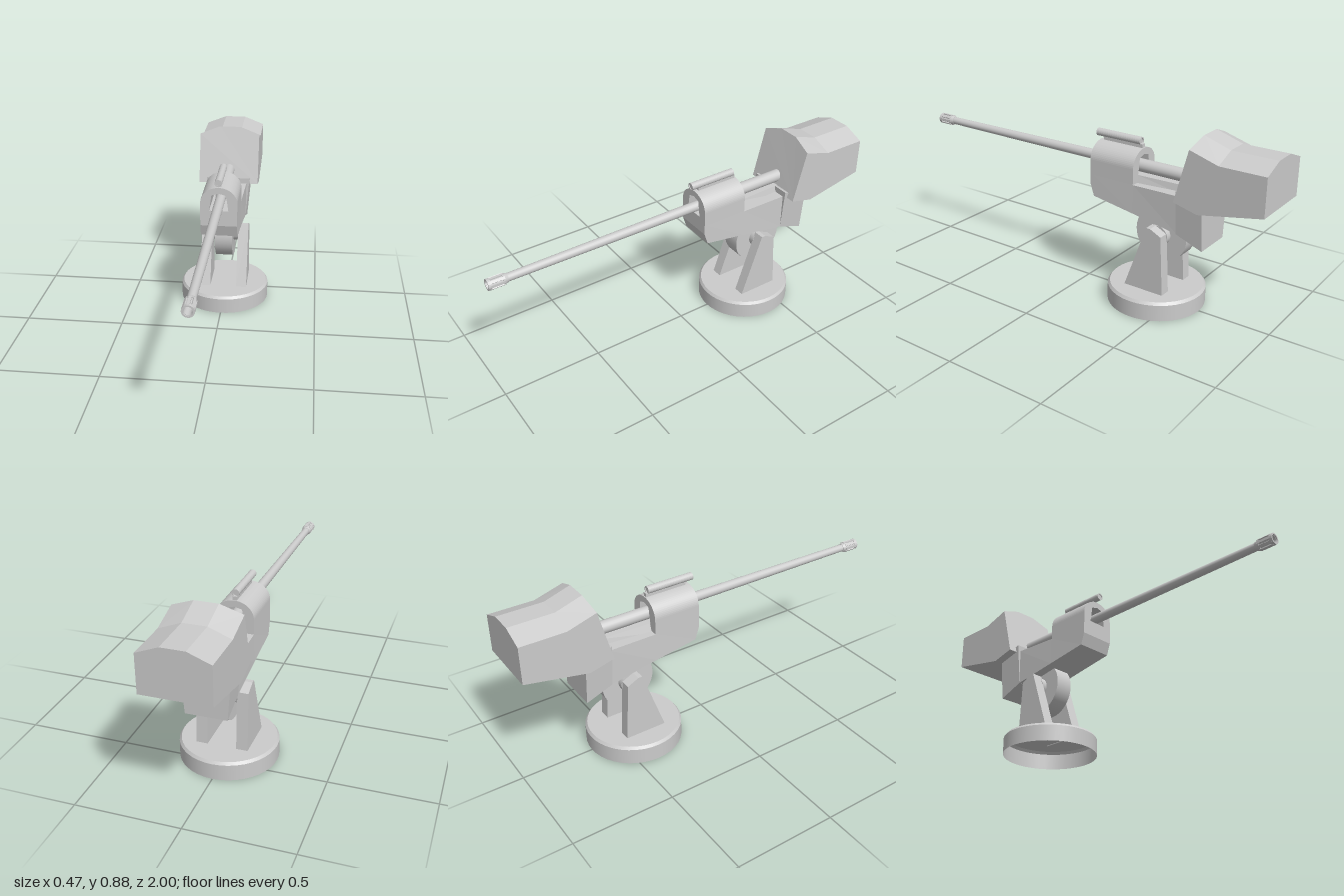
import * as THREE from 'three';

const smooth = new THREE.MeshStandardMaterial({ color: 0xcccccc, side: THREE.DoubleSide });
const flat = new THREE.MeshStandardMaterial({ color: 0xcccccc, flatShading: true });

// Joins rings of [x, y, z] points (front to back, anticlockwise from the front) into a closed solid.
function loft(rings) {
  const pos = [];
  const tri = (a, b, c) => pos.push(...a, ...b, ...c);
  const n = rings[0].length;
  for (let i = 0; i < rings.length - 1; i++) {
    for (let j = 0; j < n; j++) {
      const k = (j + 1) % n, p = rings[i], q = rings[i + 1];
      tri(p[j], q[j], p[k]);
      tri(p[k], q[j], q[k]);
    }
  }
  const first = rings[0], last = rings[rings.length - 1];
  for (let j = 1; j < n - 1; j++) {
    tri(first[0], first[j], first[j + 1]);
    tri(last[0], last[j + 1], last[j]);
  }
  const g = new THREE.BufferGeometry();
  g.setAttribute('position', new THREE.Float32BufferAttribute(pos, 3));
  g.computeVertexNormals();
  return g;
}

// Four-cornered ring with its own width at the top and bottom.
const quad = (zTop, top, wTop, zBot, bot, wBot) =>
  [[wBot, bot, zBot], [wTop, top, zTop], [-wTop, top, zTop], [-wBot, bot, zBot]];

// Cylinder along z between two stations.
function rod(z0, z1, r0, r1, y, sides = 20, open = false) {
  return new THREE.CylinderGeometry(r1, r0, z1 - z0, sides, 1, open)
    .rotateX(Math.PI / 2).translate(0, y, (z0 + z1) / 2);
}

// Hollow tube along z.
function pipe(z0, z1, rIn, rOut, y) {
  const s = new THREE.Shape().absarc(0, 0, rOut, 0, Math.PI * 2);
  s.holes.push(new THREE.Path().absarc(0, 0, rIn, 0, Math.PI * 2, true));
  return new THREE.ExtrudeGeometry(s, { depth: z1 - z0, bevelEnabled: false, curveSegments: 12 })
    .translate(0, y, z0);
}

export function createModel() {
  const model = new THREE.Group();
  const add = (name, geometry, material = flat, parent = model) => {
    const m = new THREE.Mesh(geometry, material);
    m.name = name;
    parent.add(m);
    return m;
  };

  // Hollow round base, open underneath
  const rim = new THREE.CylinderGeometry(0.236, 0.236, 0.08, 40, 1, true).translate(0, 0.04, -0.404);
  add('baseRim', rim, smooth);
  add('baseBevel', new THREE.CylinderGeometry(0.226, 0.236, 0.013, 40, 1, true).translate(0, 0.0865, -0.404), smooth);
  add('baseTop', new THREE.CircleGeometry(0.226, 40).rotateX(-Math.PI / 2).translate(0, 0.093, -0.404), smooth);

  // Pair of tapered uprights
  const side = new THREE.Shape([[-0.3, 0.09], [-0.414, 0.413], [-0.435, 0.413], [-0.492, 0.385], [-0.51, 0.09]]
    .map(([z, y]) => new THREE.Vector2(z, y)));
  for (const s of [1, -1]) {
    const g = new THREE.ExtrudeGeometry(side, { depth: 0.055, bevelEnabled: false })
      .rotateY(-Math.PI / 2).translate(0.0275 + s * 0.0975, 0, 0);
    add(s > 0 ? 'leftUpright' : 'rightUpright', g);
  }

  // Elevation wheel on its axle
  const pivot = new THREE.Group();
  pivot.name = 'pivot';
  pivot.position.set(0, 0.363, -0.447);
  model.add(pivot);
  add('wheel', new THREE.CylinderGeometry(0.135, 0.135, 0.092, 36).rotateZ(Math.PI / 2), smooth, pivot);
  add('axle', new THREE.CylinderGeometry(0.051, 0.051, 0.15, 24).rotateZ(Math.PI / 2), smooth, pivot);

  // Lower body, sloping down to the back
  add('lowerBody', loft([
    quad(-0.075, 0.59, 0.092, -0.075, 0.545, 0.092),
    quad(-0.095, 0.59, 0.092, -0.095, 0.485, 0.092),
    quad(-0.315, 0.59, 0.092, -0.315, 0.45, 0.094),
    quad(-0.56, 0.595, 0.1, -0.56, 0.41, 0.098),
  ]));

  // Arched housing with a slot for the barrel
  const arch = new THREE.Shape().moveTo(-0.092, 0.59).lineTo(0.092, 0.59).lineTo(0.092, 0.665);
  arch.absellipse(0, 0.665, 0.092, 0.081, 0, Math.PI, false);
  arch.lineTo(-0.092, 0.59);
  arch.holes.push(new THREE.Path([[-0.048, 0.625], [-0.036, 0.706], [0, 0.716], [0.036, 0.706], [0.048, 0.625]]
    .map(([x, y]) => new THREE.Vector2(x, y))));
  add('archHousing', new THREE.ExtrudeGeometry(arch,
    { depth: 0.24, bevelEnabled: false, curveSegments: 16 }).translate(0, 0, -0.315), smooth);

  // Cradle under the rear of the barrel
  add('cradle', loft([
    quad(-0.31, 0.625, 0.045, -0.31, 0.58, 0.06),
    quad(-0.57, 0.625, 0.035, -0.57, 0.58, 0.045),
  ]));

  // Flared block joining the body to the rear box
  add('rearBlock', loft([
    quad(-0.555, 0.625, 0.117, -0.555, 0.41, 0.098),
    quad(-0.69, 0.575, 0.117, -0.69, 0.36, 0.098),
  ]));

  // Rear box with a chamfered, stepped roof
  const boxRing = (zb, yb, zs, ys, zt, yt) => [
    [0.16, yb, zb], [0.16, ys, zs], [0.055, yt, zt],
    [-0.055, yt, zt], [-0.16, ys, zs], [-0.16, yb, zb],
  ];
  add('rearBox', loft([
    boxRing(-0.57, 0.59, -0.638, 0.845, -0.65, 0.885),
    boxRing(-0.69, 0.56, -0.78, 0.802, -0.78, 0.843),
    boxRing(-1, 0.62, -1, 0.802, -1, 0.843),
  ]));

  // Barrel and its thicker rear sleeve
  const y = 0.656;
  add('barrel', rod(-0.32, 0.93, 0.026, 0.019, y), smooth);
  add('barrelSleeve', rod(-0.6, -0.2, 0.031, 0.031, y + 0.003), smooth);

  // Slotted muzzle
  const muzzle = new THREE.Group();
  muzzle.name = 'muzzle';
  model.add(muzzle);
  add('muzzleCollar', rod(0.905, 0.93, 0.021, 0.027, y), smooth, muzzle);
  add('muzzleLiner', pipe(0.925, 0.995, 0.018, 0.022, y), smooth, muzzle);
  add('muzzleRing', pipe(0.985, 1, 0.02, 0.027, y), smooth, muzzle);
  for (let i = 0; i < 8; i++) {
    const bar = new THREE.BoxGeometry(0.012, 0.007, 0.07).translate(0, 0.0235, 0)
      .rotateZ(i * Math.PI / 4).translate(0, y, 0.956);
    add('muzzleBar', bar, flat, muzzle);
  }

  // Sight tube on a narrow rail
  add('sightRail', new THREE.BoxGeometry(0.02, 0.025, 0.215).translate(0, 0.751, -0.2025));
  add('sightTube', pipe(-0.3, -0.055, 0.013, 0.0185, 0.776), smooth);
  add('sightCore', rod(-0.296, -0.059, 0.0135, 0.0135, 0.776), smooth);

  return model;
}
